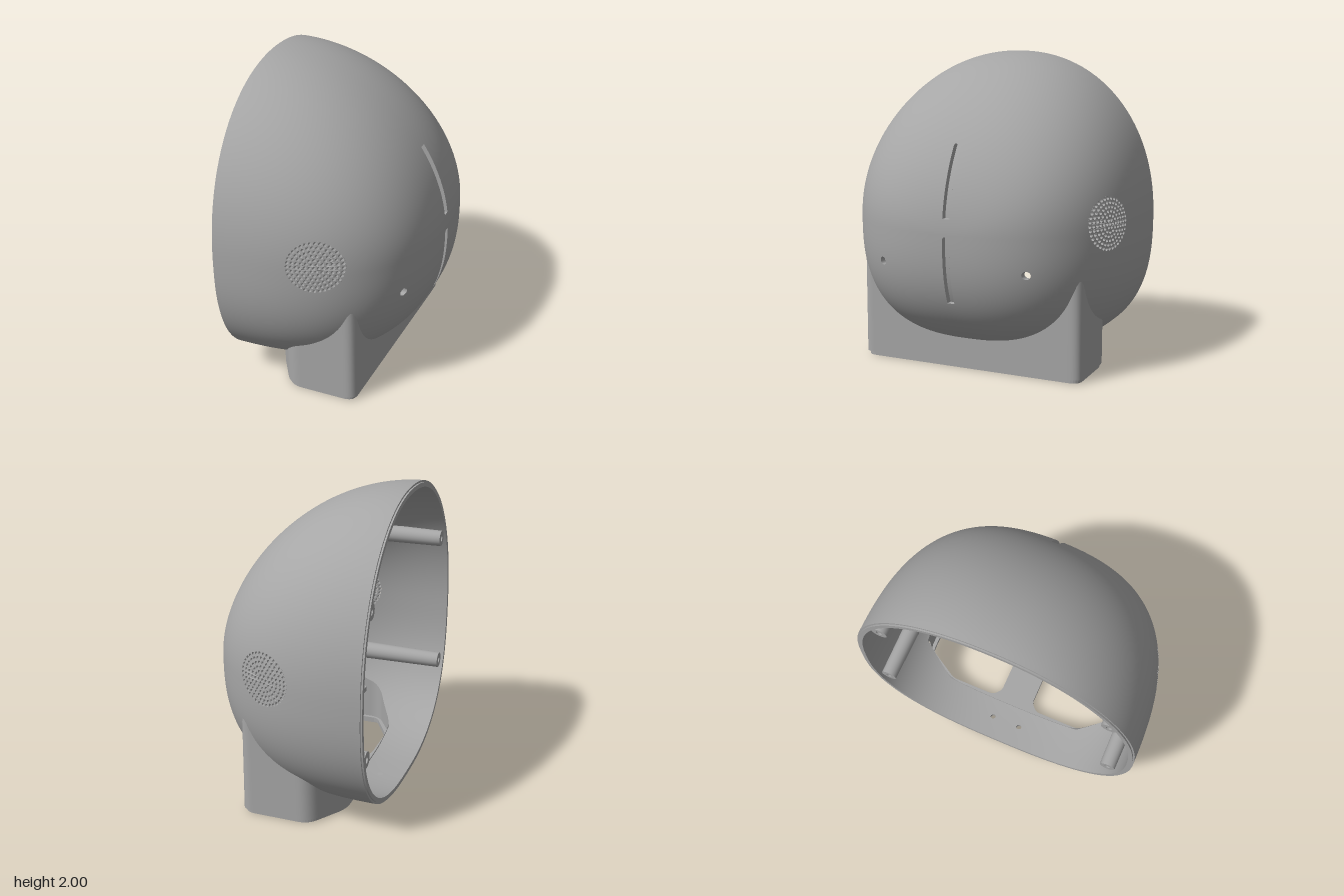
import * as THREE from 'three';
import { toCreasedNormals } from 'three/addons/utils/BufferGeometryUtils.js';

const grey = new THREE.MeshStandardMaterial({ color: 0xa6a6a6, side: THREE.DoubleSide });
grey.name = 'matte grey';

// Shell form: superellipse sections that shrink from the open rim (x0) to the pole
const X0 = -0.57, LEN = 1.145, YC = 0.93, WALL = 0.04;
const fall = (p, e) => Math.pow(Math.max(0, 1 - Math.pow(Math.min(1, Math.max(0, p)), e)), 1 / e);
function section(x, up) {
  const p = (x - X0) / LEN;
  return { w: 0.955 * fall(p, 2.6), h: up ? 1.07 * fall(p, 1.9) : 0.91 * fall(p, 2.6), n: up ? 2.15 : 2.6 };
}
function sideZ(x, y) {
  const { w, h, n } = section(x, y > YC);
  return h > 0 ? w * fall(Math.abs(y - YC) / h, n) : 0;
}
function underY(x, z) {
  const { w, h, n } = section(x, false);
  return YC - h * fall(Math.abs(z) / w, n);
}
function domeX(y, z) {
  let lo = X0, hi = X0 + LEN;
  for (let i = 0; i < 30; i++) {
    const m = (lo + hi) / 2;
    if (sideZ(m, y) > Math.abs(z)) lo = m; else hi = m;
  }
  return lo;
}

// Openings, as distances that are negative inside each cut
const EAR = { x: 0.06, y: 0.985, r: 0.17 };
const SLOTS = [[0.49, 0.92], [1.03, 1.47]];
const SCREW = { y: 0.71, z: 0.49, r: 0.026 };
function footDistance(x, z) {
  z = Math.abs(z);
  return Math.max(x - 0.27, -x - 0.35, z - 0.765, -0.841 * (x + 0.18) + 0.54 * (z - 0.765));
}
function cuts(x, y, z, outer) {
  let d = Math.hypot(x - EAR.x, y - EAR.y) - EAR.r;
  d = Math.min(d, Math.max(Math.hypot(y - SCREW.y, Math.abs(z) - SCREW.z) - SCREW.r, -x));
  d = Math.min(d, Math.max(footDistance(x, z) + WALL, y - 0.7));
  d = Math.min(d, Math.max(Math.hypot(x + 0.43, Math.abs(z) - 0.1) - 0.02, y - 0.3));
  if (outer) for (const [a, b] of SLOTS) d = Math.min(d, Math.max(Math.abs(z) - 0.024, a - y, y - b, -x));
  return d;
}

// Trims triangles against a distance, splitting finely near the cut edges
function trim(tri, dist, depth, out) {
  const f = tri.map(v => dist(v[0], v[1], v[2]));
  const len = Math.max(...tri.map((v, i) => { const u = tri[(i + 1) % 3]; return Math.hypot(v[0] - u[0], v[1] - u[1], v[2] - u[2]); }));
  if (Math.min(...f) > len) { out.push(...tri); return; }
  if (Math.max(...f) < -len) return;
  const mix = (a, b, t) => a.map((c, i) => c + (b[i] - c) * t);
  if (depth > 0) {
    const [a, b, c] = tri, ab = mix(a, b, 0.5), bc = mix(b, c, 0.5), ca = mix(c, a, 0.5);
    for (const t of [[a, ab, ca], [ab, b, bc], [ca, bc, c], [ab, bc, ca]]) trim(t, dist, depth - 1, out);
    return;
  }
  const poly = [];
  tri.forEach((v, i) => {
    const j = (i + 1) % 3;
    if (f[i] >= 0) poly.push(v);
    if (f[i] >= 0 !== f[j] >= 0) poly.push(mix(v, tri[j], f[i] / (f[i] - f[j])));
  });
  for (let i = 2; i < poly.length; i++) out.push(poly[0], poly[i - 1], poly[i]);
}

function gridGeometry(loops) {
  const n = loops[0].length, index = [];
  for (let k = 0; k + 1 < loops.length; k++) for (let j = 0; j < n; j++) {
    const a = k * n + j, b = k * n + (j + 1) % n;
    index.push(a, a + n, b, a + n, b + n, b);
  }
  const g = new THREE.BufferGeometry();
  g.setAttribute('position', new THREE.Float32BufferAttribute(loops.flat(2), 3));
  g.setIndex(index);
  g.computeVertexNormals();
  return g;
}
const loft = loops => toCreasedNormals(gridGeometry(loops), 0.6);

// Flat plate from x,z outlines
function plate(outline, holes, y0, h) {
  const pts = l => l.map(([x, z]) => new THREE.Vector2(x, -z));
  const s = new THREE.Shape(pts(outline));
  for (const hole of holes) s.holes.push(new THREE.Path(pts(hole)));
  return new THREE.ExtrudeGeometry(s, { depth: h, bevelEnabled: false }).rotateX(-Math.PI / 2).translate(0, y0, 0);
}
const circle = (cx, cy, r, n) => Array.from({ length: n }, (_, i) => {
  const a = i / n * Math.PI * 2;
  return [cx + r * Math.sin(a), cy + r * Math.cos(a)];
});
function rounded(pts, r, count) {
  const path = new THREE.Path(), v = pts.map(p => new THREE.Vector2(...p));
  v.forEach((c, i) => {
    const toward = o => c.clone().add(o.clone().sub(c).setLength(r));
    const a = toward(v[(i + v.length - 1) % v.length]), b = toward(v[(i + 1) % v.length]);
    if (i) path.lineTo(a.x, a.y); else path.moveTo(a.x, a.y);
    path.quadraticCurveTo(c.x, c.y, b.x, b.y);
  });
  path.closePath();
  return path.getSpacedPoints(count).slice(0, -1).map(p => [p.x, p.y]);
}
function footprint(d, count = 220) {
  const half = [[0.27 - d, 0.765 - d], [-0.18 + 0.547 * d, 0.765 - d], [-0.35 + d, 0.5 - 0.294 * d]];
  return rounded([...half, ...half.map(([x, z]) => [x, -z]).reverse()], 0.07, count);
}

export function createModel() {
  const model = new THREE.Group();
  const add = (name, geometry) => {
    const m = new THREE.Mesh(geometry, grey);
    m.name = name;
    model.add(m);
  };

  // Domed shell, outer and inner skins
  const NA = 56, NT = 160, loops = [];
  for (let i = 0; i <= NA; i++) {
    const x = X0 + LEN * Math.sin(i / NA * Math.PI / 2), loop = [];
    for (let j = 0; j < NT; j++) {
      const t = j / NT * Math.PI * 2, c = Math.cos(t), s = Math.sin(t);
      const { w, h, n } = section(x, s >= 0);
      const r = Math.pow(Math.abs(c) ** n + Math.abs(s) ** n, -1 / n);
      loop.push([x, YC + h * s * r, w * c * r]);
    }
    loops.push(loop);
  }
  const grid = gridGeometry(loops), nor = grid.attributes.normal, idx = grid.index.array;
  const flat = loops.flat();
  const normalOf = i => i >= NA * NT ? [1, 0, 0] : [nor.getX(i), nor.getY(i), nor.getZ(i)];
  const inset = (i, d) => flat[i].map((c, k) => (k === 0 && i < NT ? X0 : c - d * normalOf(i)[k]));
  for (const outer of [true, false]) {
    const verts = flat.map((v, i) => [...inset(i, outer ? 0 : WALL), ...normalOf(i).map(c => outer ? c : -c)]);
    const out = [];
    for (let i = 0; i < idx.length; i += 3) {
      const t = [verts[idx[i]], verts[idx[i + 1]], verts[idx[i + 2]]];
      trim(outer ? t : [t[0], t[2], t[1]], (x, y, z) => cuts(x, y, z, outer), 2, out);
    }
    const g = new THREE.BufferGeometry();
    g.setAttribute('position', new THREE.Float32BufferAttribute(out.flatMap(v => v.slice(0, 3)), 3));
    g.setAttribute('normal', new THREE.Float32BufferAttribute(out.flatMap(v => v.slice(3)), 3));
    add(outer ? 'shellOutside' : 'shellInside', g);
  }

  // Stepped rim around the open side
  const rimLoop = (d, x) => loops[0].map((_, j) => [x, ...inset(j, d).slice(1)]);
  add('rim', loft([rimLoop(WALL, X0), rimLoop(WALL, -0.58), rimLoop(0.012, -0.58), rimLoop(0.012, X0), rimLoop(0, X0)]));

  // Edges of the slots and screw holes in the dome
  const edge = loop => loft([0, 0.05].map(d => loop.map(([y, z]) => [domeX(y, z) - d, y, z])));
  for (const [a, b] of SLOTS) {
    const up = Array.from({ length: 17 }, (_, i) => [a + (b - a) * i / 16, 0.024]);
    add('slotWall', edge([...up, ...up.map(([y, z]) => [y, -z]).reverse()]));
  }

  for (const s of [1, -1]) {
    add('screwHole', edge(circle(SCREW.y, s * SCREW.z, SCREW.r, 20)));

    // Perforated ear panel following the shell
    const vec = l => l.map(p => new THREE.Vector2(...p));
    const ear = new THREE.Shape(vec(circle(EAR.x, EAR.y, EAR.r, 64)));
    for (let k = 0; k <= 6; k++) for (let i = 0; i < Math.max(1, 6 * k); i++) {
      const a = i / Math.max(1, 6 * k) * Math.PI * 2, r = k * 0.0262;
      ear.holes.push(new THREE.Path(vec(circle(EAR.x + r * Math.cos(a), EAR.y + r * Math.sin(a), 0.0105, 8))));
    }
    const eg = new THREE.ExtrudeGeometry(ear, { depth: 1, bevelEnabled: false }), ep = eg.attributes.position;
    for (let i = 0; i < ep.count; i++) {
      const k = ep.getZ(i), z = sideZ(ep.getX(i), ep.getY(i));
      ep.setZ(i, s * (z - (s > 0 ? 1 - k : k) * WALL));
    }
    add('earGrille', toCreasedNormals(eg, 0.5));

    // Screw posts that run along the wall and fade into it
    for (const [y, z, length] of [[1.45, 0.75, 0.7], [0.54, 0.8, 0.75]]) {
      const profile = [[0.02, 0.12], [0.02, 0]];
      for (let i = 0; i <= 14; i++) profile.push([0.052 + 0.01 * i / 14, length * i / 14]);
      const g = new THREE.LatheGeometry(profile.map(p => new THREE.Vector2(...p)), 24);
      g.rotateZ(-Math.PI / 2).translate(-0.565, y, s * z);
      const p = g.attributes.position;
      for (let i = 0; i < p.count; i++) {
        const limit = Math.max(0, sideZ(p.getX(i), p.getY(i)) - 0.015);
        p.setZ(i, s * Math.min(s * p.getZ(i), limit));
      }
      add('screwPost', toCreasedNormals(g, 0.6));
    }

    // Inner mounting bracket with two drilled arms
    const bracket = [[0.24, 0.15], [0.24, 0.71], [-0.04, 0.71], [-0.07, 0.68], [-0.07, 0.64], [-0.04, 0.61], [0.1, 0.61],
      [0.14, 0.57], [0.14, 0.29], [0.1, 0.25], [-0.04, 0.25], [-0.07, 0.22], [-0.07, 0.18], [-0.04, 0.15]];
    add('bracket', plate(bracket.map(([x, z]) => [x, s * z]),
      [circle(-0.02, s * 0.2, 0.02, 14), circle(-0.02, s * 0.66, 0.02, 14)], 0.27, 0.035));
  }

  // Base walls rising to meet the shell
  const ring = (d, f) => footprint(d).map(([x, z]) => [x, f(x, z), z]);
  const top = extra => (x, z) => Math.min(0.66, underY(x, z) + extra);
  const low = () => 0.025;
  add('baseOutside', loft([ring(0, low), ring(0, (x, z) => Math.max(0.025, top(0.01)(x, z)))].map(l => l.slice().reverse())));
  add('baseInside', loft([ring(WALL, low), ring(WALL, (x, z) => Math.max(0.025, top(0.05)(x, z)))]));

  // Floor with a stepped opening on each side
  const opening = (s, k) => rounded([[0.15, 0.12], [0.2, 0.17], [0.2, 0.65], [0.15, 0.7], [-0.15, 0.7], [-0.28, 0.48], [-0.28, 0.17], [-0.23, 0.12]]
    .map(([x, z]) => [-0.04 + (x + 0.04) * k, s * (0.41 + (z - 0.41) * k)]), 0.025, 80);
  add('baseRing', plate(footprint(0.012), [opening(1, 1.12), opening(-1, 1.12)], 0, 0.03));
  add('floorPlate', plate(footprint(0.02), [opening(1, 1), opening(-1, 1)], 0.025, 0.03));

  // Front tab under the rim
  const tab = rounded([[-0.3, -0.34], [-0.3, 0.34], [-0.4, 0.2], [-0.51, 0.15], [-0.51, -0.15], [-0.4, -0.2]], 0.04, 80);
  add('frontTab', plate(tab, [circle(-0.43, 0.1, 0.02, 16), circle(-0.43, -0.1, 0.02, 16)], 0.005, 0.025));
  return model;
}
